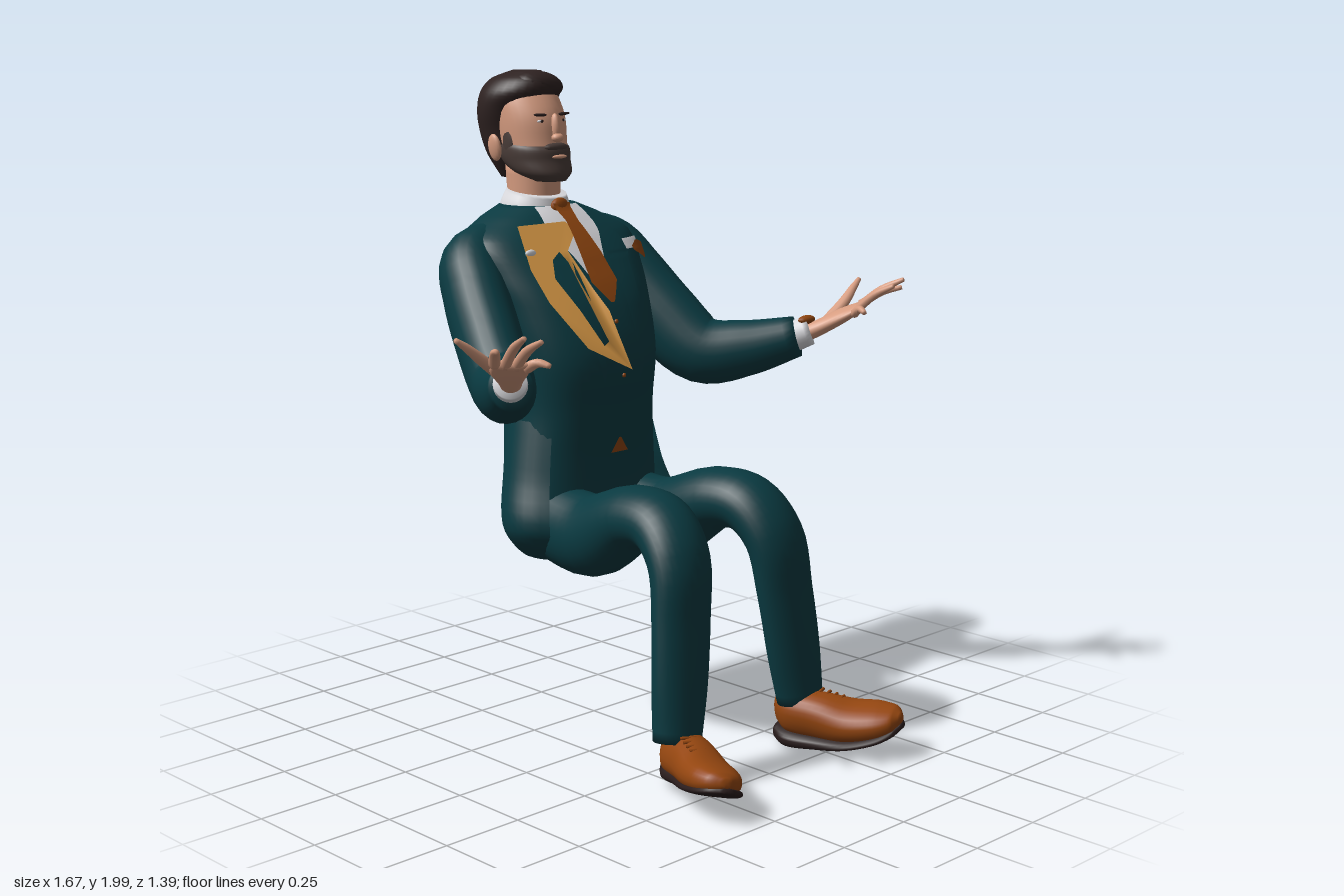
import * as THREE from 'three';

const mat = (name, color) => new THREE.MeshStandardMaterial({ name, color });
const suit = mat('teal suit', 0x0a3a41), maroon = mat('dark lining', 0x4a2622);
const skin = mat('skin', 0xd69c80), hairMat = mat('hair', 0x2e2221), beardMat = mat('beard', 0x483b37);
const white = mat('shirt white', 0xdcdce0), rust = mat('rust brown', 0x8e4510);
const leather = mat('shoe leather', 0x944610), soleMat = mat('sole', 0x2a1d1d), lining = mat('orange lining', 0xe2a04a);
for (const m of [suit, white, rust, lining]) m.side = THREE.DoubleSide;

const V = (x, y, z) => new THREE.Vector3(x, y, z);

// Smoothly resample sections [x, y, z, half width, half depth]
function sample(secs, count) {
  const path = new THREE.CatmullRomCurve3(secs.map(s => V(s[0], s[1], s[2])));
  const size = new THREE.CatmullRomCurve3(secs.map(s => V(s[3], s[4], 0)), false, 'catmullrom', 0.5);
  return Array.from({ length: count + 1 }, (_, i) => {
    const t = i / count, r = size.getPoint(t);
    return { c: path.getPoint(t), t: path.getTangent(t), a: Math.max(r.x, 0.002), b: Math.max(r.y, 0.002) };
  });
}

// Skin elliptical cross-sections; flat keeps every section horizontal
function loft(secs, { ref = V(1, 0, 0), n = 24, steps = 5, e = 2, flat = false, arc = null } = {}) {
  const rings = sample(secs, (secs.length - 1) * steps), pos = [], idx = [], w = n + 1;
  const [a0, a1] = arc || [0, Math.PI * 2];
  const pw = k => Math.sign(k) * Math.pow(Math.abs(k), 2 / e);
  for (const r of rings) {
    const t = flat ? V(0, 1, 0) : r.t;
    const u = ref.clone().addScaledVector(t, -ref.dot(t)).normalize(), v = t.clone().cross(u);
    for (let j = 0; j <= n; j++) {
      const th = a0 + (a1 - a0) * (arc ? j : j % n) / n;
      const p = r.c.clone().addScaledVector(u, r.a * pw(Math.cos(th))).addScaledVector(v, r.b * pw(Math.sin(th)));
      pos.push(p.x, p.y, p.z);
    }
  }
  const at = (i, j) => i * w + (arc ? j : j % n), last = rings.length - 1;
  for (let i = 0; i < last; i++) for (let j = 0; j < n; j++)
    idx.push(at(i, j), at(i, j + 1), at(i + 1, j), at(i, j + 1), at(i + 1, j + 1), at(i + 1, j));
  if (!arc) {
    const c0 = pos.length / 3;
    for (const r of [rings[0], rings[last]]) pos.push(r.c.x, r.c.y, r.c.z);
    for (let j = 0; j < n; j++) idx.push(c0, at(0, j + 1), at(0, j), c0 + 1, at(last, j), at(last, j + 1));
  }
  return build(pos, idx);
}

function build(pos, idx) {
  const g = new THREE.BufferGeometry();
  g.setAttribute('position', new THREE.Float32BufferAttribute(pos, 3));
  g.setIndex(idx);
  g.computeVertexNormals();
  return g;
}

// Torso sections, written as [y, half width, z centre, half depth]
const rows = list => list.map(([y, a, z, b]) => [0, y, z, a, b]);
const TORSO = rows([[0.58, 0.22, -0.26, 0.13], [0.72, 0.255, -0.30, 0.16], [0.88, 0.25, -0.31, 0.17],
  [1.0, 0.24, -0.31, 0.18], [1.15, 0.25, -0.315, 0.195], [1.3, 0.275, -0.365, 0.195], [1.4, 0.3, -0.412, 0.18],
  [1.5, 0.305, -0.458, 0.147], [1.56, 0.205, -0.485, 0.115], [1.592, 0.125, -0.497, 0.09]]);
const E = 2.5, dense = sample(TORSO, 300);
function surfaceZ(x, y, side) {
  const r = dense.reduce((m, k) => Math.abs(k.c.y - y) < Math.abs(m.c.y - y) ? k : m);
  return r.c.z + side * r.b * Math.pow(Math.max(0, 1 - Math.pow(Math.abs(x) / r.a, E)), 1 / E);
}

// Thin cloth lying on the torso; rows of [y, x from, x to]
function patch(list, off = 0.01, side = 1) {
  const pos = [], idx = [], n = 6, sub = 4, m = (list.length - 1) * sub;
  for (let i = 0; i <= m; i++) {
    const k = Math.min(Math.floor(i / sub), list.length - 2), f = i / sub - k;
    const [y, a, b] = list[k].map((q, c) => q + (list[k + 1][c] - q) * f);
    for (let j = 0; j <= n; j++) {
      const x = a + (b - a) * j / n;
      pos.push(x, y, surfaceZ(x, y, side) + off * side);
    }
  }
  for (let i = 0; i < m; i++) for (let j = 0; j < n; j++) {
    const a = i * (n + 1) + j, b = a + n + 1;
    if (side > 0) idx.push(a, b, a + 1, a + 1, b, b + 1);
    else idx.push(a, a + 1, b, a + 1, b + 1, b);
  }
  return build(pos, idx);
}

export function createModel() {
  const model = new THREE.Group();
  const add = (name, geo, m) => {
    const mesh = new THREE.Mesh(geo, m);
    mesh.name = name;
    model.add(mesh);
    return mesh;
  };
  const blob = (name, m, p, s, rz = 0) => {
    const b = add(name, new THREE.SphereGeometry(1, 16, 12), m);
    b.position.set(...p); b.scale.set(...s); b.rotation.z = rz;
  };

  // Jacket body and its open skirt
  add('jacket', loft(TORSO, { flat: true, e: E, n: 48 }), suit);
  add('jacketSkirt', loft(rows([[0.505, 0.09, -0.32, 0.06], [0.55, 0.235, -0.28, 0.135], [0.65, 0.32, -0.26, 0.19],
    [0.8, 0.285, -0.29, 0.188], [0.97, 0.245, -0.31, 0.182]]), { flat: true, n: 36, arc: [-0.6, Math.PI + 0.6] }), suit);
  blob('skirtLining', maroon, [0, 0.55, -0.365], [0.075, 0.028, 0.006]);

  // Shirt, tie and waistcoat details
  add('shirtFront', patch([[1.592, -0.085, 0.085], [1.53, -0.1, 0.1], [1.45, -0.06, 0.06], [1.36, -0.02, 0.02]]), white);
  add('collar', loft([[0, 1.555, -0.508, 0.115, 0.113], [0, 1.595, -0.502, 0.107, 0.105], [0, 1.63, -0.497, 0.092, 0.094]]), white);
  add('tie', patch([[1.6, -0.034, 0.034], [1.55, -0.024, 0.024], [1.46, -0.042, 0.042], [1.38, -0.052, 0.052], [1.32, -0.008, 0.008]], 0.025), rust);
  blob('tieKnot', rust, [0, 1.588, -0.392], [0.034, 0.028, 0.016]);
  add('tieTip', patch([[0.91, -0.004, 0.004], [0.865, -0.035, 0.035]], 0.012), rust);
  for (let i = 0; i < 3; i++) {
    const y = 1.26 - i * 0.08;
    blob('waistcoatButton', rust, [0.01, y, surfaceZ(0.01, y, 1)], [0.007, 0.007, 0.006]);
  }
  for (const s of [-1, 1]) {
    add('lapel', patch([[1.57, s * 0.1, s * 0.13], [1.46, s * 0.085, s * 0.19], [1.43, s * 0.075, s * 0.16], [1.3, s * 0.07, s * 0.13], [1.08, s * 0.07, s * 0.075]], 0.012), suit);
    add('backLining', patch([[1.3, s * 0.2, s * 0.205], [1.2, s * 0.18, s * 0.228], [1.1, s * 0.172, s * 0.178]], 0.01, -1), lining);
  }
  add('backSlit', patch([[1.22, -0.18, 0.18], [1.203, -0.18, 0.18]], 0.008, -1), white);
  add('pocketEdge', patch([[1.485, 0.165, 0.25], [1.455, 0.165, 0.24]], 0.02), white);
  add('pocketSquare', patch([[1.475, 0.225, 0.24], [1.462, 0.195, 0.285], [1.45, 0.195, 0.285], [1.42, 0.25, 0.275]], 0.026), rust);

  // Folded lining panel on the right breast, leaning with the chest
  const pts = list => list.map(([x, y]) => new THREE.Vector2(x, y));
  const lean = y => Math.min(-0.05, -0.335 + (1.55 - y) * 0.78);
  const panel = new THREE.Shape(pts([[-0.22, 1.55], [-0.03, 1.55], [-0.01, 1.52], [-0.075, 1.47], [-0.05, 1.36],
    [-0.03, 1.3], [-0.02, 1.13], [-0.18, 1.21], [-0.24, 1.34], [-0.25, 1.43]]));
  panel.holes.push(new THREE.Path(pts([[-0.175, 1.4], [-0.15, 1.45], [-0.11, 1.47], [-0.095, 1.44], [-0.09, 1.22], [-0.115, 1.21], [-0.14, 1.31]])));
  const panelGeo = new THREE.ShapeGeometry(panel), pp = panelGeo.attributes.position;
  for (let i = 0; i < pp.count; i++) pp.setZ(i, lean(pp.getY(i)));
  panelGeo.computeVertexNormals();
  add('foldedLining', panelGeo, lining);
  blob('foldedPocketEdge', white, [-0.22, 1.475, lean(1.475)], [0.02, 0.011, 0.008]);

  // Head and neck
  add('neck', loft(rows([[1.56, 0.08, -0.505, 0.08], [1.72, 0.084, -0.515, 0.088]]), { flat: true }), skin);
  add('head', loft(rows([[1.675, 0.05, -0.44, 0.05], [1.705, 0.085, -0.475, 0.085], [1.78, 0.1, -0.51, 0.108],
    [1.86, 0.106, -0.53, 0.116], [1.93, 0.1, -0.56, 0.107], [1.965, 0.06, -0.56, 0.06]]), { flat: true, n: 32 }), skin);
  add('hair', loft(rows([[1.67, 0.06, -0.585, 0.035], [1.74, 0.098, -0.592, 0.075], [1.82, 0.12, -0.6, 0.088],
    [1.88, 0.13, -0.59, 0.102], [1.93, 0.124, -0.568, 0.122], [1.97, 0.092, -0.555, 0.105], [1.995, 0.04, -0.54, 0.05]]), { flat: true, n: 32 }), hairMat);
  blob('quiff', hairMat, [0.015, 1.952, -0.5], [0.088, 0.042, 0.058], -0.14);
  add('beard', loft(rows([[1.665, 0.05, -0.435, 0.05], [1.69, 0.088, -0.467, 0.09], [1.73, 0.102, -0.5, 0.112],
    [1.765, 0.104, -0.507, 0.113], [1.785, 0.094, -0.515, 0.09]]), { flat: true, n: 32 }), beardMat);
  blob('moustache', beardMat, [0, 1.768, -0.407], [0.046, 0.014, 0.017]);
  blob('lips', skin, [0, 1.74, -0.39], [0.03, 0.006, 0.008]);
  blob('nose', skin, [0, 1.825, -0.41], [0.014, 0.045, 0.018]);
  blob('noseTip', skin, [0, 1.797, -0.399], [0.02, 0.014, 0.018]);
  for (const s of [-1, 1]) {
    blob('sideburn', beardMat, [s * 0.092, 1.785, -0.515], [0.013, 0.06, 0.027]);
    blob('ear', skin, [s * 0.117, 1.765, -0.555], [0.013, 0.042, 0.027], -s * 0.15);
    blob('eye', white, [s * 0.042, 1.847, -0.426], [0.015, 0.005, 0.006]);
    blob('iris', hairMat, [s * 0.042, 1.847, -0.421], [0.006, 0.005, 0.003]);
    blob('eyebrow', hairMat, [s * 0.045, 1.866, -0.424], [0.028, 0.005, 0.007], s * 0.05);
  }

  // Limbs, mirrored from the left side
  for (const s of [-1, 1]) {
    const side = s > 0 ? 'left' : 'right';
    const limb = (name, secs, m, ref = V(1, 0, 0), opt = {}) =>
      add(side + name, loft(secs.map(([x, ...r]) => [s * x, ...r]), { ref: V(ref.x * s, ref.y, ref.z), ...opt }), m);

    limb('Sleeve', [[0.16, 1.49, -0.485, 0.07, 0.07], [0.28, 1.432, -0.475, 0.094, 0.102], [0.318, 1.34, -0.41, 0.1, 0.115],
      [0.36, 1.22, -0.305, 0.1, 0.118], [0.413, 1.12, -0.185, 0.095, 0.107], [0.49, 1.13, -0.07, 0.08, 0.09],
      [0.59, 1.172, 0.06, 0.06, 0.064]], suit, V(1, 0, -0.6));
    limb('ShirtCuff', [[0.57, 1.165, 0.035, 0.05, 0.052], [0.618, 1.19, 0.088, 0.047, 0.045]], white, V(1, 0, -0.8));

    // Open palm, four fingers and thumb
    const across = V(0.8, 0.05, -0.6);
    limb('Palm', [[0.59, 1.17, 0.06, 0.03, 0.028], [0.635, 1.2, 0.11, 0.034, 0.025], [0.685, 1.24, 0.165, 0.053, 0.022],
      [0.72, 1.27, 0.21, 0.047, 0.013]], skin, across);
    const tips = [[0.83, 1.325, 0.28], [0.775, 1.36, 0.33], [0.72, 1.345, 0.335], [0.645, 1.265, 0.285]];
    tips.forEach((tip, i) => {
      const f = i / 3, base = V(0.75 - 0.075 * f, 1.268 - 0.015 * f, 0.18 + 0.04 * f), end = V(...tip);
      const mid = base.clone().lerp(end, 0.5).add(V(0, 0.012, 0));
      limb('Finger' + (i + 1), [[...base.toArray(), 0.016, 0.014], [...mid.toArray(), 0.014, 0.012],
        [...end.toArray(), 0.008, 0.007]], skin, across, { n: 10 });
    });
    limb('Thumb', [[0.665, 1.215, 0.115, 0.022, 0.018], [0.74, 1.27, 0.12, 0.019, 0.016], [0.79, 1.31, 0.115, 0.013, 0.012],
      [0.825, 1.335, 0.11, 0.007, 0.007]], skin, V(0, 0, 1), { n: 12 });

    // Trouser leg
    limb('TrouserLeg', [[0.14, 0.66, -0.3, 0.11, 0.12], [0.155, 0.64, -0.08, 0.112, 0.125], [0.17, 0.735, 0.12, 0.11, 0.095],
      [0.182, 0.735, 0.24, 0.105, 0.085], [0.2, 0.65, 0.325, 0.105, 0.072], [0.22, 0.48, 0.355, 0.103, 0.06],
      [0.242, 0.3, 0.372, 0.097, 0.06], [0.262, 0.145, 0.383, 0.08, 0.06]], suit, V(1, 0, 0), { n: 32 });

    // Shoe, rolled outward with the toe raised
    const roll = V(1, 0.3, -0.3);
    limb('Shoe', [[0.238, 0.105, 0.325, 0.03, 0.05], [0.245, 0.105, 0.37, 0.06, 0.068], [0.27, 0.105, 0.45, 0.068, 0.068],
      [0.31, 0.1, 0.54, 0.08, 0.055], [0.348, 0.113, 0.62, 0.076, 0.045], [0.368, 0.125, 0.667, 0.052, 0.03],
      [0.374, 0.13, 0.686, 0.014, 0.012]], leather, roll, { e: 2.3 });
    limb('Sole', [[0.236, 0.039, 0.32, 0.03, 0.022], [0.245, 0.037, 0.37, 0.061, 0.025], [0.27, 0.042, 0.45, 0.068, 0.02],
      [0.31, 0.055, 0.54, 0.082, 0.014], [0.35, 0.08, 0.622, 0.078, 0.013], [0.37, 0.1, 0.67, 0.053, 0.011],
      [0.376, 0.11, 0.69, 0.014, 0.008]], soleMat, roll, { e: 3 });
    for (let i = 0; i < 4; i++) {
      const f = i / 3;
      limb('Lace' + (i + 1), [[0.255 + 0.025 * f, 0.168 - 0.012 * f, 0.45 + 0.06 * f, 0.005, 0.005],
        [0.305 + 0.025 * f, 0.176 - 0.014 * f, 0.44 + 0.06 * f, 0.005, 0.005]], leather, V(0, 1, 0), { n: 6, steps: 1 });
    }
  }

  // Watch on the left wrist
  blob('watch', rust, [0.607, 1.225, 0.083], [0.035, 0.014, 0.018]);
  return model;
}
